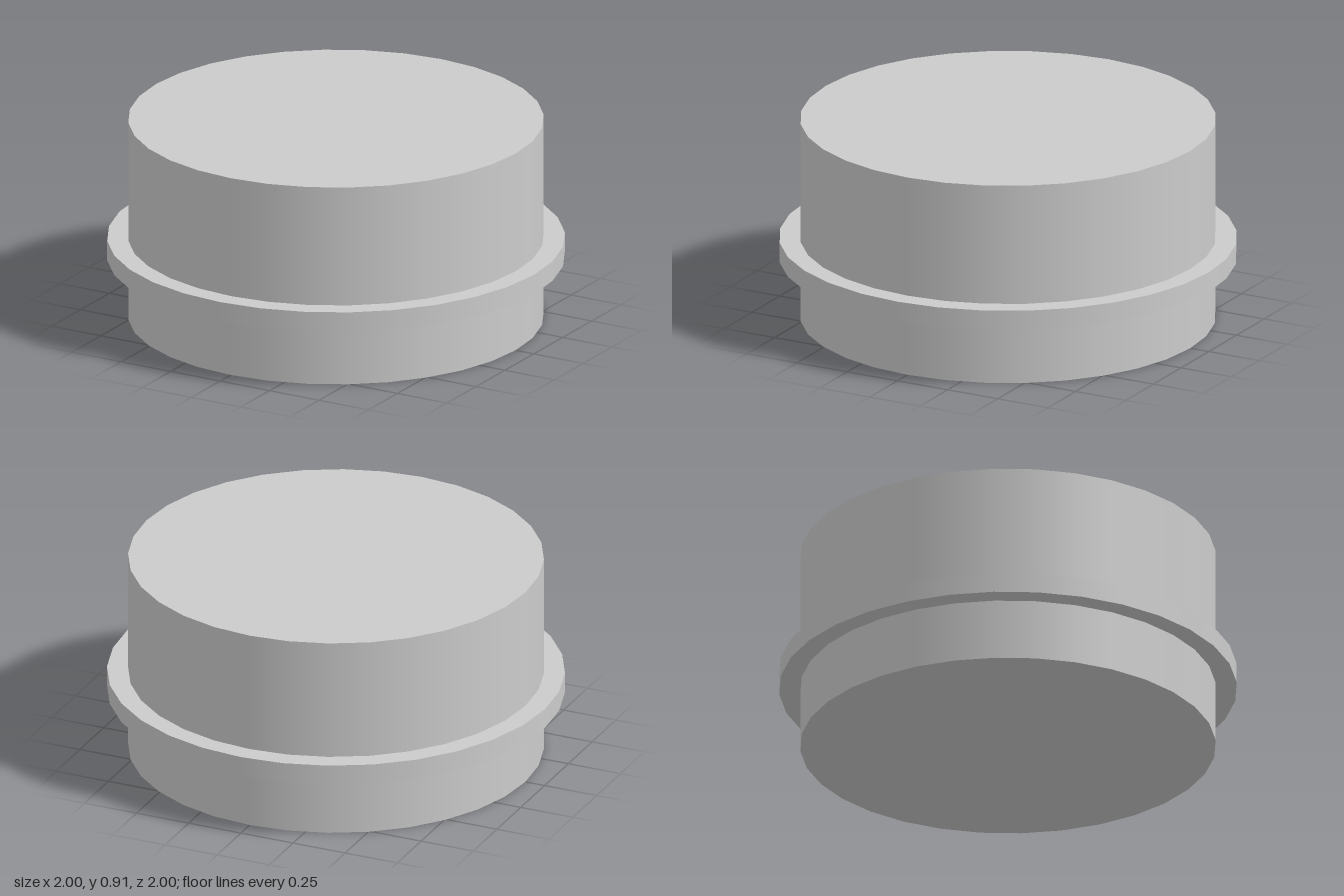
import * as THREE from 'three';

const SIDES = 32;

export function createModel() {
  const model = new THREE.Group();
  model.name = 'flangedDrum';
  const material = new THREE.MeshStandardMaterial({ color: 0xcccccc });

  // Upright cylinder spanning two heights
  const addDisc = (name, radius, bottom, top) => {
    const geometry = new THREE.CylinderGeometry(radius, radius, top - bottom, SIDES);
    const mesh = new THREE.Mesh(geometry, material);
    mesh.name = name;
    mesh.position.y = (bottom + top) / 2;
    model.add(mesh);
  };

  addDisc('body', 0.908, 0, 0.91);
  // Thin collar around the lower part of the body
  addDisc('flange', 1, 0.275, 0.365);

  return model;
}
